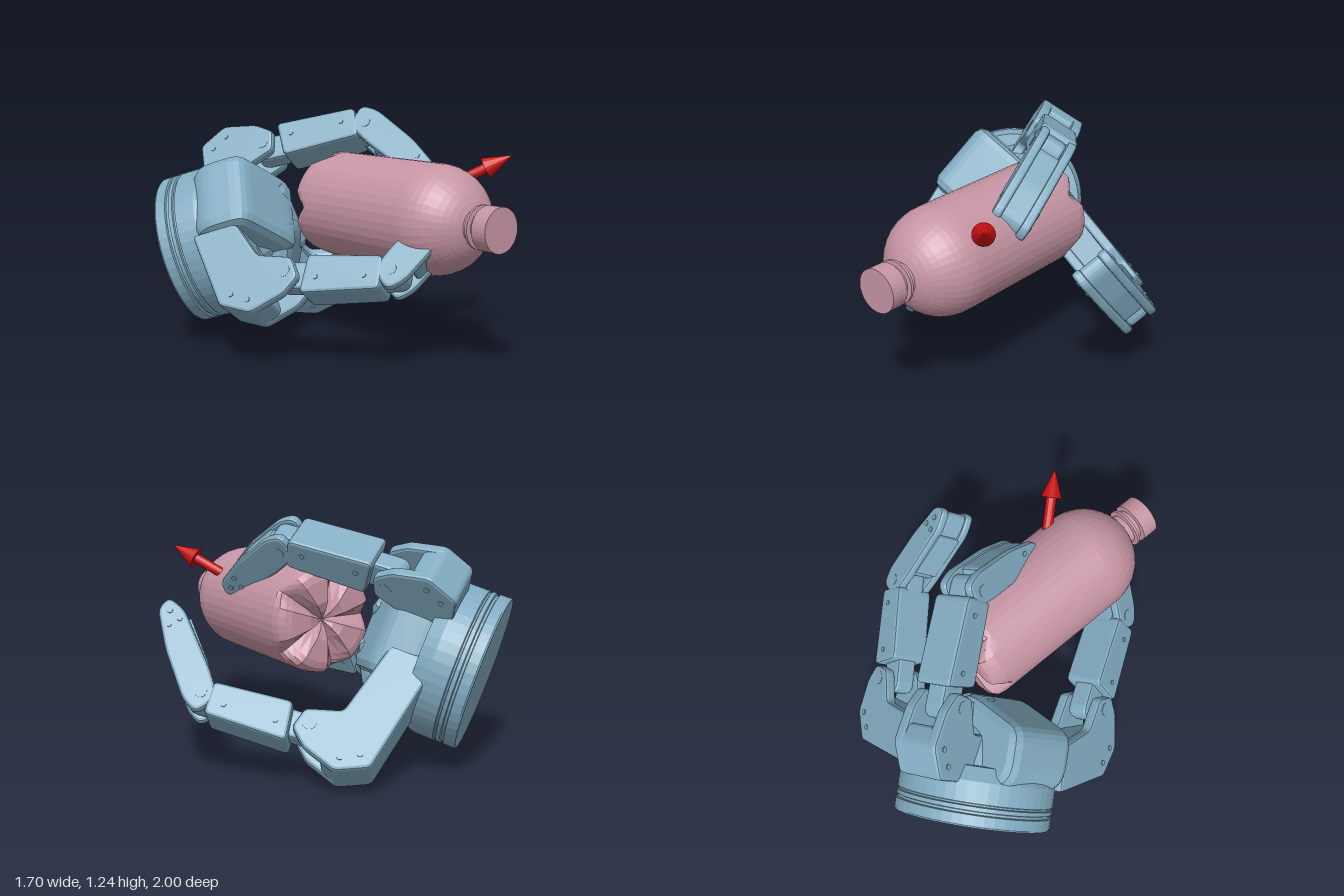
import * as THREE from 'three';

const BLUE = 0x82abc1, PINK = 0xc695a4, RED = 0xc81010;
const mat = (color) => new THREE.MeshStandardMaterial({ color, flatShading: true, side: THREE.DoubleSide });
const blue = mat(BLUE), pink = mat(PINK), red = mat(RED);

function add(parent, name, geometry, material) {
  const mesh = new THREE.Mesh(geometry, material);
  mesh.name = name;
  parent.add(mesh);
  return mesh;
}

const lathe = (pts, segs) => new THREE.LatheGeometry(pts.map(([r, y]) => new THREE.Vector2(r, y)), segs);

// Plate with a softened outline, extruded symmetrically about z
function plate(pts, width, soft = 0.04, bevel = 0.015) {
  const p = pts.map(([x, y]) => new THREE.Vector2(x, y));
  const shape = new THREE.Shape();
  p.forEach((c, i) => {
    const prev = p[(i + p.length - 1) % p.length], next = p[(i + 1) % p.length];
    const cut = (q) => c.clone().lerp(q, Math.min(0.48, soft / c.distanceTo(q)));
    const s = cut(prev), e = cut(next);
    if (i === 0) shape.moveTo(s.x, s.y); else shape.lineTo(s.x, s.y);
    shape.quadraticCurveTo(c.x, c.y, e.x, e.y);
  });
  shape.closePath();
  const g = new THREE.ExtrudeGeometry(shape, {
    depth: width - 2 * bevel, bevelThickness: bevel, bevelSize: bevel,
    bevelOffset: -bevel, bevelSegments: 2, curveSegments: 4,
  });
  return g.translate(0, 0, bevel - width / 2);
}

// Pin along the hinge axis
const pin = (r, width) => new THREE.CylinderGeometry(r, r, width, 20).rotateX(Math.PI / 2);

// Group whose x axis runs from one joint to the next
function link(parent, name, from, to) {
  const g = new THREE.Group();
  g.name = name;
  g.position.set(from[0], from[1], 0);
  g.rotation.z = Math.atan2(to[1] - from[1], to[0] - from[0]);
  parent.add(g);
  return [g, Math.hypot(to[0] - from[0], to[1] - from[1])];
}

// Finger in its own plane: x points away from the palm axis, y along it
function finger(parent, name, turn, offset, [j1, j2, tip]) {
  const f = new THREE.Group();
  f.name = name;
  f.rotation.y = THREE.MathUtils.degToRad(turn);
  f.translateZ(offset);
  parent.add(f);

  // Proximal link: solid core between two cheeks
  const at = ([x, y]) => [x + j1[0], y + j1[1]];
  const heel = [[0.17, -0.2], [0.09, -0.35]].map(at);
  const root = [[0.15, 0.2], [0.15, 0.44]];
  const core = [at([0.13, -0.1]), ...heel, ...root, at([-0.12, -0.14])];
  const cheek = [at([0.05, 0.07]), at([0.12, -0.02]), ...heel, ...root, at([-0.12, -0.12]), at([-0.06, 0.05])];
  add(f, 'proximalCore', plate(core, 0.2, 0.025), blue);
  for (const s of [-1, 1]) {
    add(f, 'proximalCheek', plate(cheek, 0.06, 0.025), blue).position.z = s * 0.1;
    for (const [x, y] of [[0.1, -0.2], [0.05, -0.28]].map(at))
      add(f, 'bolt', pin(0.014, 0.01), blue).position.set(x, y, s * 0.13);
  }
  add(f, 'basePin', pin(0.035, 0.264), blue).position.set(j1[0], j1[1], 0);

  // Middle link: block with narrow hinge tongues
  const [m, L] = link(f, 'middleLink', j1, j2);
  add(m, 'tongue', plate([[-0.07, -0.07], [L + 0.07, -0.07], [L + 0.07, 0.07], [-0.07, 0.07]], 0.11, 0.06), blue);
  add(m, 'middleBlock', plate([[0.08, -0.11], [L - 0.05, -0.1], [L - 0.04, 0.07], [0.11, 0.09]], 0.21, 0.03), blue);
  for (const s of [-1, 1]) for (const x of [0.16, L - 0.13])
    add(m, 'bolt', pin(0.013, 0.01), blue).position.set(x, -0.03, s * 0.105);

  // Distal link: tapered fingertip with forked end and grip pad
  const [d, D] = link(f, 'fingertip', j2, tip);
  const side = [[-0.09, -0.06], [0.0, -0.095], [0.28, -0.09], [D, -0.055], [D + 0.04, 0.02],
    [D - 0.06, 0.07], [0.1, 0.08], [-0.06, 0.07]];
  for (const s of [-1, 1])
    add(d, 'fingertipCheek', plate(side, 0.05), blue).position.z = s * 0.077;
  const inner = [[0.05, -0.085], [0.28, -0.08], [D - 0.01, -0.048], [D + 0.03, 0.02], [D - 0.06, 0.06], [0.1, 0.07]];
  add(d, 'fingertipCore', plate(inner, 0.13), blue);
  add(d, 'gripPad', plate([[0.14, 0.05], [D - 0.1, 0.05], [D - 0.1, 0.085], [0.14, 0.085]], 0.13, 0.01, 0.008), blue);
  add(d, 'tipPin', pin(0.03, 0.208), blue);
  for (const s of [-1, 1]) for (const [x, y] of [[D - 0.04, 0], [D - 0.11, -0.03], [D - 0.1, 0.03]])
    add(d, 'bolt', pin(0.014, 0.01), blue).position.set(x, y, s * 0.102);
}

function makeHand() {
  const hand = new THREE.Group();
  hand.name = 'roboticHand';
  const axis = new THREE.Vector3(0.62, 0.3, 0.725).normalize();
  const across = new THREE.Vector3(0.75, -0.51, -0.42);
  across.addScaledVector(axis, -across.dot(axis)).normalize();
  hand.setRotationFromMatrix(new THREE.Matrix4().makeBasis(across, axis, across.clone().cross(axis)));
  hand.position.set(-0.536, 0.51, -0.724);

  // Wrist disc with two grooves and a tapered front
  add(hand, 'wristDisc', lathe([[0, 0], [0.395, 0], [0.4, 0.008], [0.4, 0.06], [0.388, 0.064], [0.388, 0.076],
    [0.4, 0.08], [0.4, 0.1], [0.39, 0.104], [0.39, 0.112], [0.4, 0.116], [0.4, 0.22], [0.375, 0.29], [0, 0.29]], 48), blue);

  // Palm hub and the rounded lobes between the fingers
  add(hand, 'palmHub', lathe([[0.32, 0.27], [0.29, 0.42], [0.2, 0.54], [0, 0.56]], 12), blue);
  for (const [angle, reach, width] of [[172, 0.42, 0.42], [-60, 0.35, 0.34], [50, 0.32, 0.4]]) {
    const lobe = plate([[0, 0.2], [reach - 0.06, 0.2], [reach, 0.28], [reach, 0.5], [0.08, 0.63], [0, 0.63]], width, 0.07, 0.05);
    add(hand, 'palmLobe', lobe, blue).rotation.y = THREE.MathUtils.degToRad(angle);
  }

  finger(hand, 'upperFinger', 90, -0.03, [[0.415, 0.555], [0.366, 1.127], [-0.03, 1.4]]);
  finger(hand, 'outerFinger', -18, -0.15, [[0.67, 0.635], [0.724, 1.184], [0.37, 1.55]]);
  finger(hand, 'lowerFinger', -90, 0.28, [[0.47, 0.65], [0.6, 1.168], [0.32, 1.57]]);
  return hand;
}

function makeBottle() {
  const bottle = new THREE.Group();
  bottle.name = 'bottle';
  bottle.position.set(0.093, 0.767, 0);
  bottle.rotation.x = Math.PI / 2;

  // Body with a domed shoulder
  const R = 0.277;
  const pts = [[0, -0.2], [0.05, -0.24], [0.1, -0.26], [0.21, -0.26], [0.245, -0.25], [0.268, -0.225], [R, -0.18], [R, -0.13]];
  for (let i = 0; i <= 10; i++) {
    const t = (i / 10) * 1.26;
    pts.push([R * Math.cos(t), 0.57 + 0.28 * Math.sin(t)]);
  }
  pts.push([0, 0.84]);
  const body = lathe(pts, 40);
  // Five wedge grooves pressed into the base
  const p = body.attributes.position;
  const step = (2 * Math.PI) / 5;
  for (let i = 0; i < p.count; i++) {
    const x = p.getX(i), y = p.getY(i), z = p.getZ(i);
    if (y > -0.15 || Math.hypot(x, z) < 0.01) continue;
    const a = (Math.atan2(x, z) + Math.PI / 10) / step;
    const off = Math.abs(a - Math.round(a)) * step;
    const k = Math.max(0, 1 - off / 0.3) * (-0.13 - y) / 0.13;
    p.setXYZ(i, x * (1 - 0.05 * k), y + 0.08 * k, z * (1 - 0.05 * k));
  }
  body.computeVertexNormals();
  add(bottle, 'bottleBody', body, pink);

  // Neck with two collars, then the cap
  add(bottle, 'bottleNeck', lathe([[0.085, 0.8], [0.085, 0.865], [0.108, 0.868], [0.108, 0.882], [0.085, 0.885],
    [0.085, 0.91], [0.11, 0.912], [0.11, 1], [0, 1]], 32), pink);
  return bottle;
}

function makeArrow() {
  const arrow = new THREE.Group();
  arrow.name = 'arrow';
  const from = new THREE.Vector3(0.29, 0.92, 0.485), to = new THREE.Vector3(0.485, 1.07, 0.705);
  const dir = to.clone().sub(from), len = dir.length();
  arrow.position.copy(from);
  arrow.quaternion.setFromUnitVectors(new THREE.Vector3(0, 1, 0), dir.normalize());
  add(arrow, 'arrowShaft', lathe([[0, 0], [0.027, 0], [0.027, len - 0.14]], 16), red);
  add(arrow, 'arrowHead', lathe([[0, len - 0.15], [0.056, len - 0.15], [0, len]], 20), red);
  return arrow;
}

export function createModel() {
  const model = new THREE.Group();
  model.name = 'handHoldingBottle';
  model.add(makeHand(), makeBottle(), makeArrow());
  return model;
}
